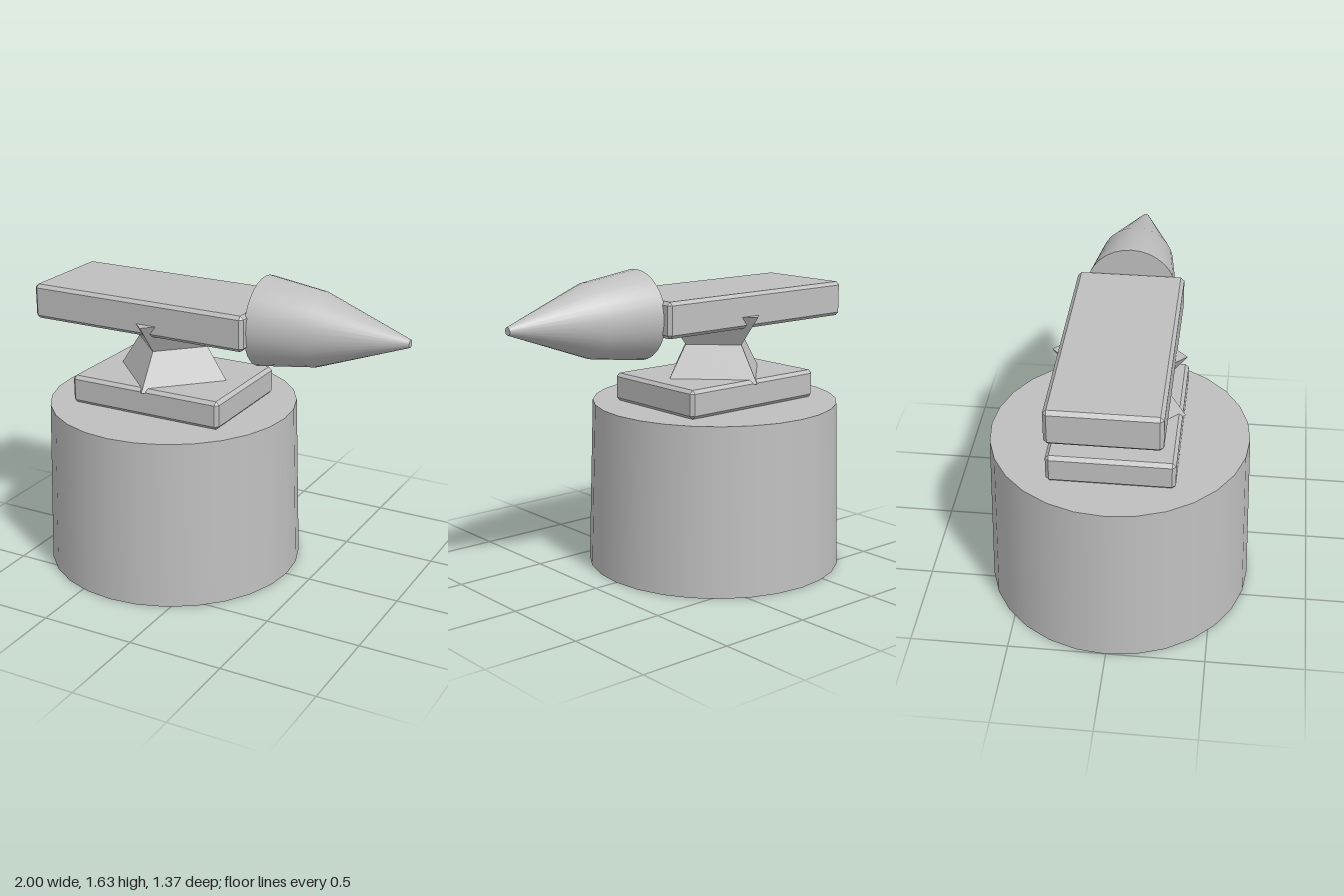
import * as THREE from 'three';
import { ConvexGeometry } from 'three/addons/geometries/ConvexGeometry.js';
import { mergeGeometries } from 'three/addons/utils/BufferGeometryUtils.js';

// Closed solid of revolution: smooth side, sharp flat end caps. Profile is [radius, y], bottom to top.
function turned(profile, sides) {
  const lathe = pts => new THREE.LatheGeometry(pts.map(p => new THREE.Vector2(p[0], p[1])), sides);
  const first = profile[0], last = profile[profile.length - 1];
  return mergeGeometries([
    lathe([[0, first[1]], first]),
    lathe(profile),
    lathe([last, [0, last[1]]]),
  ]);
}

// Box with every edge and corner chamfered by c
function chamferBox(w, h, d, c) {
  const pts = [];
  for (const sx of [-1, 1]) for (const sy of [-1, 1]) for (const sz of [-1, 1]) {
    const x = w / 2, y = h / 2, z = d / 2;
    for (const [a, b, e] of [[x, y - c, z - c], [x - c, y, z - c], [x - c, y - c, z]]) {
      pts.push(new THREE.Vector3(sx * a, sy * b, sz * e));
    }
  }
  return new ConvexGeometry(pts);
}

export function createModel() {
  const group = new THREE.Group();
  const grey = new THREE.MeshStandardMaterial({ color: 0xbfbfbf });
  grey.name = 'grey';
  const axisX = -0.318;

  const add = (name, geometry, x, y) => {
    const mesh = new THREE.Mesh(geometry, grey);
    mesh.name = name;
    mesh.position.set(x, y, 0);
    group.add(mesh);
    return mesh;
  };

  // Tapered round base
  add('baseDrum', turned([[0.683, 0], [0.656, 0.89]], 28), axisX, 0);

  // Slab on the drum
  add('mountingPlate', chamferBox(0.87, 0.15, 0.63, 0.018), axisX, 0.965);

  // Four-sided waisted neck, faceted, with corners pointing along x and z
  const neck = turned([[0.33, 1.02], [0.207, 1.21], [0.33, 1.37]], 4).toNonIndexed();
  neck.computeVertexNormals();
  add('neck', neck, axisX, 0);

  // Long body slab
  add('body', chamferBox(1.23, 0.185, 0.545, 0.018), -0.385, 1.4);

  // Pointed nose lying along +x
  const nose = add('nose', turned([[0.232, 0.22], [0.19, 0.53], [0.02, 1.0]], 32), 0, 1.4);
  nose.rotation.z = -Math.PI / 2;

  return group;
}
